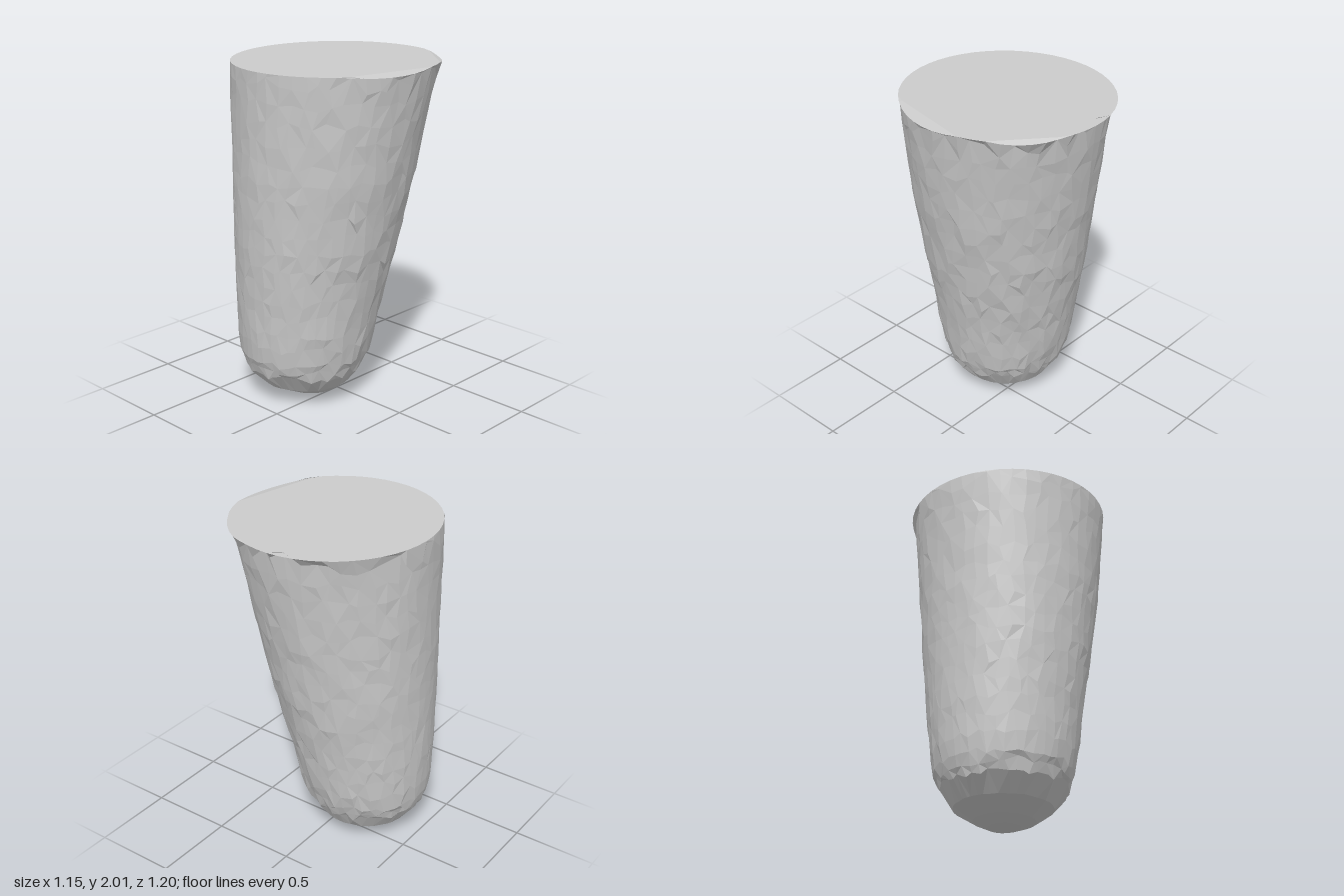
import * as THREE from 'three';

const SIDES = 48;

// Cross-sections: height, xMin, xMax, zMin, zMax, number of rings up to the next one
const SECTIONS = [
  [0.0, -0.14, -0.07, 0.06, 0.13, 1],
  [0.01, -0.2, -0.02, 0.01, 0.2, 1],
  [0.04, -0.29, 0.06, -0.05, 0.28, 1],
  [0.1, -0.41, 0.14, -0.14, 0.4, 1],
  [0.2, -0.485, 0.212, -0.205, 0.485, 2],
  [0.3, -0.518, 0.253, -0.25, 0.517, 1],
  [0.4, -0.53, 0.275, -0.275, 0.53, 2],
  [0.6, -0.54, 0.31, -0.313, 0.542, 4],
  [1.0, -0.55, 0.397, -0.395, 0.568, 4],
  [1.4, -0.56, 0.476, -0.462, 0.583, 5],
  [1.95, -0.575, 0.56, -0.55, 0.598, 1],
];
const RIM = [2.0, -0.577, 0.573, -0.595, 0.6];

// Straight bevels cut into the rim: middle angle and half width
const BEVELS = [[13, 28], [-50, 20.5]].map((b) => b.map(THREE.MathUtils.degToRad));

function seeded(seed) {
  return () => {
    seed = (seed * 16807) % 2147483647;
    return seed / 2147483647 - 0.5;
  };
}

// Distance to the bevel chord on a unit circle, and how far the rim dips there
function bevelAt(angle) {
  for (const [mid, half] of BEVELS) {
    const d = Math.atan2(Math.sin(angle - mid), Math.cos(angle - mid));
    if (Math.abs(d) < half) {
      const r = Math.cos(half) / Math.cos(d);
      return { r, dip: 0.016 * (1 - r) / (1 - Math.cos(half)) };
    }
  }
  return { r: 1, dip: 0 };
}

function pointOn([y, x0, x1, z0, z1], angle, r = 1) {
  return [
    (x0 + x1) / 2 + Math.cos(angle) * r * (x1 - x0) / 2,
    y,
    (z0 + z1) / 2 + Math.sin(angle) * r * (z1 - z0) / 2,
  ];
}

function bodyGeometry() {
  const rand = seeded(71);
  const step = (Math.PI * 2) / SIDES;
  const positions = [];
  const index = [];
  const addRing = (fn) => {
    for (let j = 0; j < SIDES; j++) positions.push(...fn(j * step));
  };

  // Bottom pole
  addRing(() => [-0.11, 0, 0.1]);

  // Slanted wall with a slightly uneven, faceted surface
  SECTIONS.forEach((s, i) => {
    const next = SECTIONS[i + 1] || RIM;
    for (let k = 0; k < s[5]; k++) {
      const t = k / s[5];
      const ring = next.map((v, n) => THREE.MathUtils.lerp(s[n], v, t));
      const loose = s[0] >= 0.2 && s[0] < 1.9 ? 0.05 : s[0] * 0.06;
      addRing((a) => {
        const p = pointOn(ring, a + rand() * step * 0.7, 1 + rand() * 0.009);
        p[1] += rand() * loose;
        return p;
      });
    }
  });

  // Rim, bevel edge and flat cap
  addRing((a) => {
    const p = pointOn(RIM, a);
    p[1] -= bevelAt(a).dip;
    return p;
  });
  addRing((a) => pointOn(RIM, a, bevelAt(a).r * 0.999));
  addRing(() => [0, 2, 0]);

  const rings = positions.length / 3 / SIDES;
  for (let i = 0; i < rings - 1; i++) {
    for (let j = 0; j < SIDES; j++) {
      const a = i * SIDES + j;
      const b = i * SIDES + ((j + 1) % SIDES);
      const c = a + SIDES;
      const d = b + SIDES;
      // Alternate the diagonals, and skip collapsed triangles at the poles
      if (i === 0) index.push(a, c, d);
      else if (i === rings - 2) index.push(a, c, b);
      else if ((i + j) % 2) index.push(a, c, b, b, c, d);
      else index.push(a, c, d, a, d, b);
    }
  }

  const geometry = new THREE.BufferGeometry();
  geometry.setAttribute('position', new THREE.Float32BufferAttribute(positions, 3));
  geometry.setIndex(index);
  const faceted = geometry.toNonIndexed();
  faceted.computeVertexNormals();
  return faceted;
}

export function createModel() {
  const group = new THREE.Group();
  group.name = 'roundedPlug';
  const body = new THREE.Mesh(
    bodyGeometry(),
    new THREE.MeshStandardMaterial({ color: 0xcccccc, flatShading: true })
  );
  body.name = 'body';
  group.add(body);
  return group;
}
